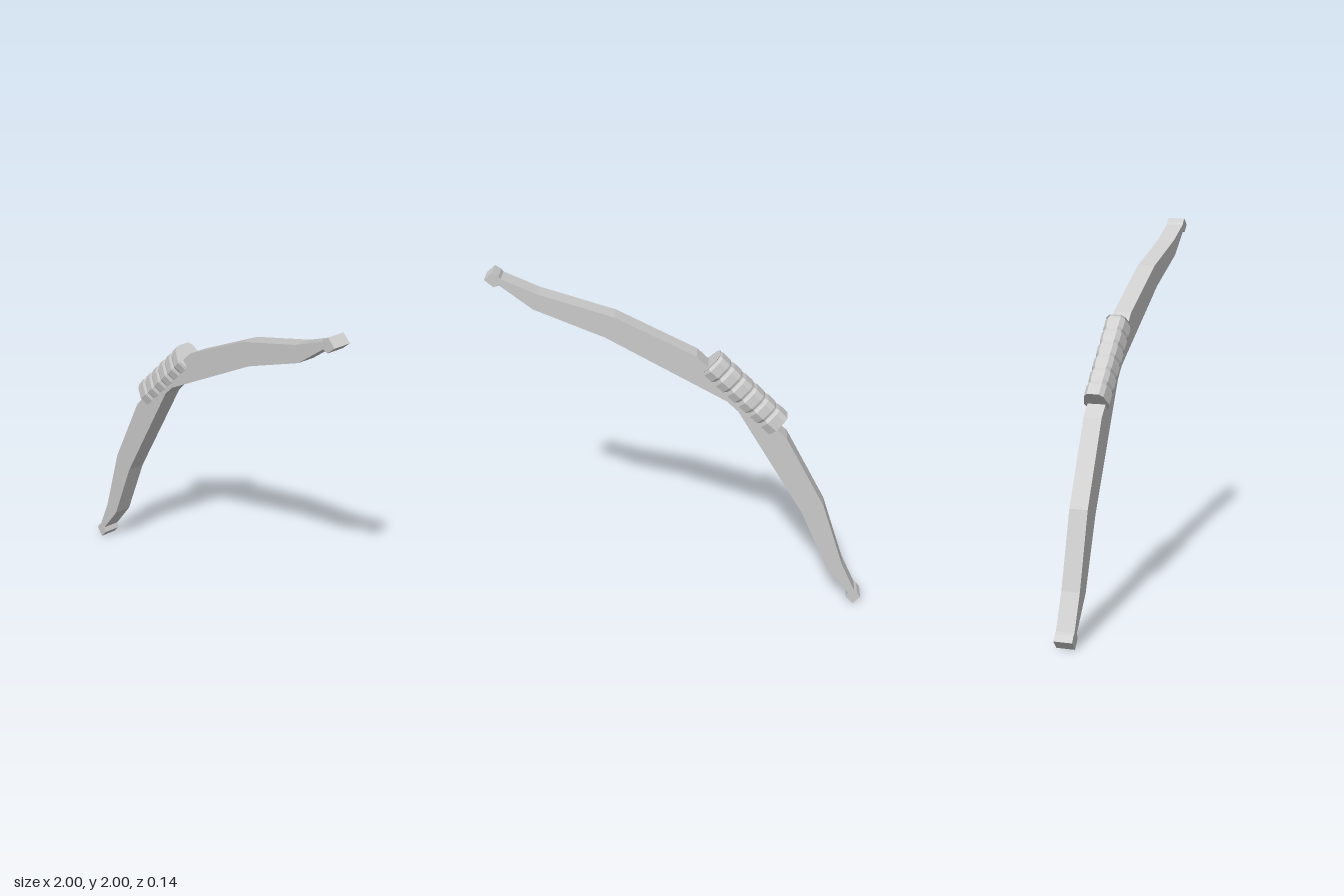
import * as THREE from 'three';

const material = new THREE.MeshStandardMaterial({ color: 0xcccccc, flatShading: true, side: THREE.DoubleSide });

// Stave: one limb's outline, mirrored across the bow's axis and extruded
function makeStave() {
  const upper = [
    [-0.07, 1.55], [0.35, 1.765], [0.735, 1.885], [0.915, 1.965], [0.925, 1.98], [0.955, 2.0],
    [1.0, 1.96], [0.955, 1.92], [0.925, 1.93], [0.76, 1.8], [0.4, 1.65], [-0.23, 1.29],
  ];
  const lower = upper.map(([x, y]) => [1 - y, 1 - x]).reverse();
  const shape = new THREE.Shape([...upper, ...lower].map(([x, y]) => new THREE.Vector2(x, y)));
  const geometry = new THREE.ExtrudeGeometry(shape, { depth: 0.096, bevelEnabled: false });
  geometry.translate(0, 0, -0.048);
  const mesh = new THREE.Mesh(geometry, material);
  mesh.name = 'stave';
  return mesh;
}

// Grip: faceted cross-section lofted along the handle, swelling at each wrap
function makeGrip() {
  const half = [[0.522, 0.032], [0.5, 0.052], [0.437, 0.068], [0.39, 0.048]]; // [height, half width]
  const section = [...half, ...half.map(([v, z]) => [v, -z]).reverse()];
  const wraps = 6, length = 0.51, step = length / wraps, mid = 0.45;
  const rings = [];
  for (let i = 0; i < wraps; i++) {
    const u = -length / 2 + i * step;
    rings.push([u, 0.9], [u + step * 0.15, 1], [u + step * 0.75, 1.02], [u + step * 0.95, 0.9]);
  }
  rings[0][1] = 1;
  rings.push([length / 2, 1]);

  const positions = [], index = [], n = section.length;
  for (const [u, s] of rings) {
    for (const [v, z] of section) positions.push(u, mid + (v - mid) * (0.5 + s / 2), z * s);
  }
  for (let r = 0; r < rings.length - 1; r++) {
    for (let k = 0; k < n; k++) {
      const a = r * n + k, b = r * n + (k + 1) % n;
      index.push(a, b, a + n, b, b + n, a + n);
    }
  }
  // End caps
  const last = (rings.length - 1) * n;
  for (let k = 1; k < n - 1; k++) {
    index.push(0, k + 1, k, last, last + k, last + k + 1);
  }
  const geometry = new THREE.BufferGeometry();
  geometry.setAttribute('position', new THREE.Float32BufferAttribute(positions, 3));
  geometry.setIndex(index);
  geometry.computeVertexNormals();
  const mesh = new THREE.Mesh(geometry, material);
  mesh.name = 'grip';
  mesh.position.y = 1;
  mesh.rotation.z = Math.PI / 4;
  return mesh;
}

export function createModel() {
  const bow = new THREE.Group();
  bow.name = 'bow';
  bow.add(makeStave(), makeGrip());
  return bow;
}
